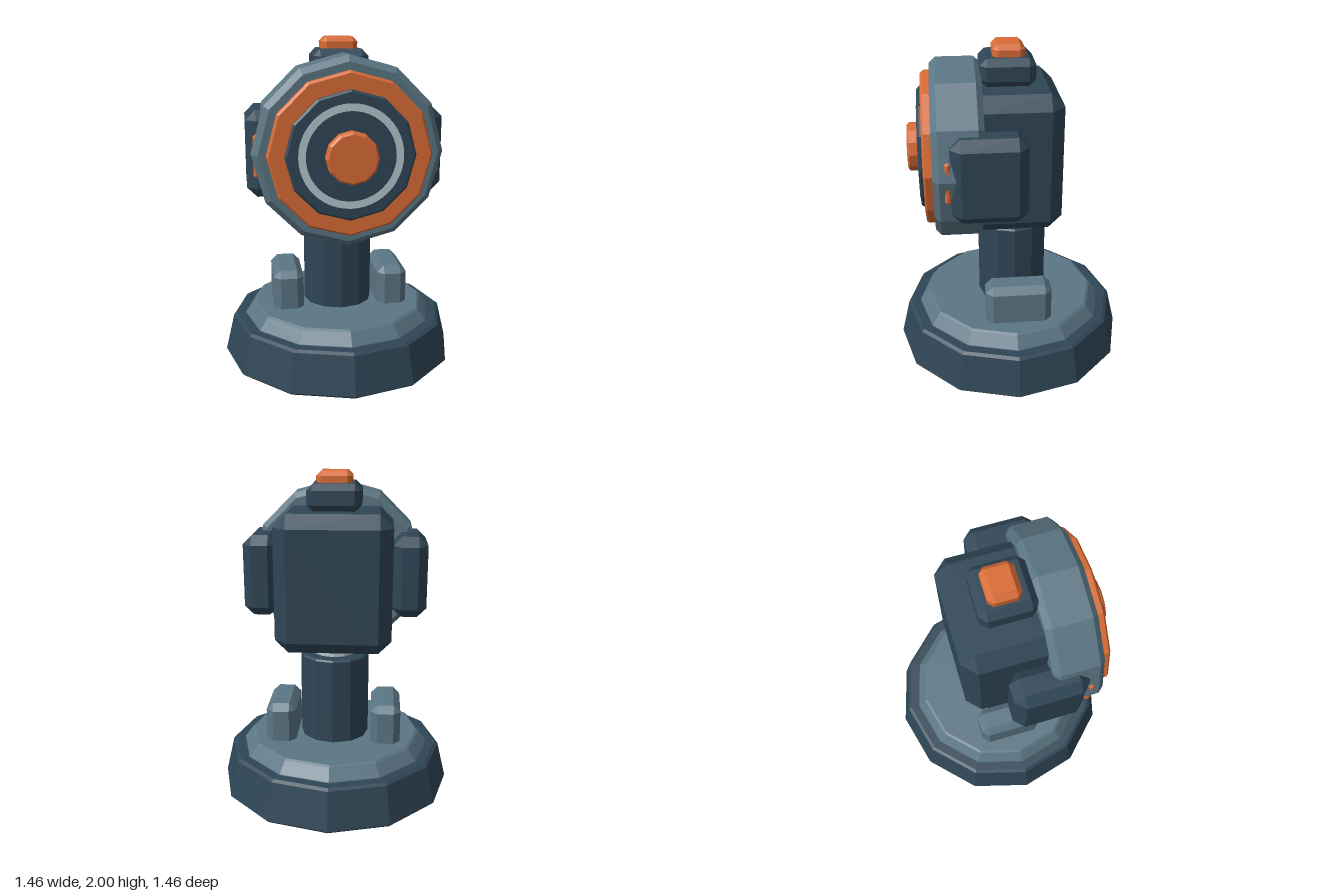
import * as THREE from 'three';
import { ConvexGeometry } from 'three/addons/geometries/ConvexGeometry.js';

const mat = (name, color) => {
  const m = new THREE.MeshStandardMaterial({ color, flatShading: true });
  m.name = name;
  return m;
};

// Box with chamfered edges and corners, centred on the origin
function chamferBox(w, h, d, c) {
  const pts = [];
  for (const sx of [-1, 1]) for (const sy of [-1, 1]) for (const sz of [-1, 1]) {
    const x = w / 2, y = h / 2, z = d / 2;
    pts.push(
      new THREE.Vector3(sx * x, sy * (y - c), sz * (z - c)),
      new THREE.Vector3(sx * (x - c), sy * y, sz * (z - c)),
      new THREE.Vector3(sx * (x - c), sy * (y - c), sz * z));
  }
  return new ConvexGeometry(pts);
}

// Twelve-sided turned solid; profile is [radius, height] from bottom to top
function turned(profile) {
  const pts = profile.map(([r, y]) => new THREE.Vector2(r, y));
  pts.unshift(new THREE.Vector2(0, profile[0][1]));
  pts.push(new THREE.Vector2(0, profile[profile.length - 1][1]));
  return new THREE.LatheGeometry(pts, 12);
}

// Bevelled twelve-sided drum
const drum = (r, y0, y1, b) => turned([[r - b, y0], [r, y0 + b], [r, y1 - b], [r - b, y1]]);

export function createModel() {
  const model = new THREE.Group();
  model.name = 'pedestalDevice';
  const dark = mat('darkSlate', 0x2f4656);
  const grey = mat('blueGrey', 0x5b7684);
  const orange = mat('orange', 0xd96c35);
  const pale = mat('paleSilver', 0xb6c9d0);

  const add = (name, geometry, material, x = 0, y = 0, z = 0, parent = model) => {
    const mesh = new THREE.Mesh(geometry, material);
    mesh.name = name;
    mesh.position.set(x, y, z);
    parent.add(mesh);
    return mesh;
  };

  // Base and pedestal
  add('base', turned([[0.715, 0], [0.73, 0.015], [0.675, 0.245], [0.655, 0.258]]), dark);
  add('basePlate', turned([[0.6, 0.25], [0.597, 0.262], [0.545, 0.33], [0.53, 0.34]]), grey);
  add('column', drum(0.215, 0.33, 0.88, 0.01), dark, 0, 0, -0.015);
  add('neck', drum(0.135, 0.86, 0.95, 0.005), pale, 0, 0, -0.015);

  // Head and top button
  add('head', chamferBox(0.706, 0.842, 0.55, 0.08), dark, 0, 1.347, -0.015);
  add('buttonMount', chamferBox(0.325, 0.165, 0.32, 0.04), dark, 0, 1.848, 0.018);
  add('topButton', chamferBox(0.214, 0.12, 0.186, 0.03), orange, 0, 1.94, 0.01);

  // Mirrored side parts
  for (const s of [-1, 1]) {
    const side = s > 0 ? 'left' : 'right';
    add(side + 'BaseBlock', chamferBox(0.186, 0.3, 0.405, 0.042), grey, s * 0.327, 0.43, -0.025);
    add(side + 'SidePod', chamferBox(0.215, 0.502, 0.43, 0.057), dark, s * 0.46, 1.357, 0.152);
    add(side + 'SideLight', chamferBox(0.05, 0.245, 0.036, 0.012), orange, s * 0.506, 1.357, 0.382);
  }

  // Round front assembly, turned to face forward
  const face = new THREE.Group();
  face.name = 'frontAssembly';
  face.position.y = 1.372;
  face.rotation.x = Math.PI / 2;
  model.add(face);
  add('housing', drum(0.543, 0.172, 0.464, 0.035), grey, 0, 0, 0, face);
  add('orangeBezel', drum(0.464, 0.45, 0.516, 0.012), orange, 0, 0, 0, face);
  add('dial', drum(0.366, 0.5, 0.543, 0.012), dark, 0, 0, 0, face);
  add('hub', drum(0.147, 0.53, 0.612, 0.012), orange, 0, 0, 0, face);
  add('dialRing', new THREE.RingGeometry(0.251, 0.293, 48), pale, 0, 0.546, 0, face)
    .rotation.x = -Math.PI / 2;

  return model;
}
